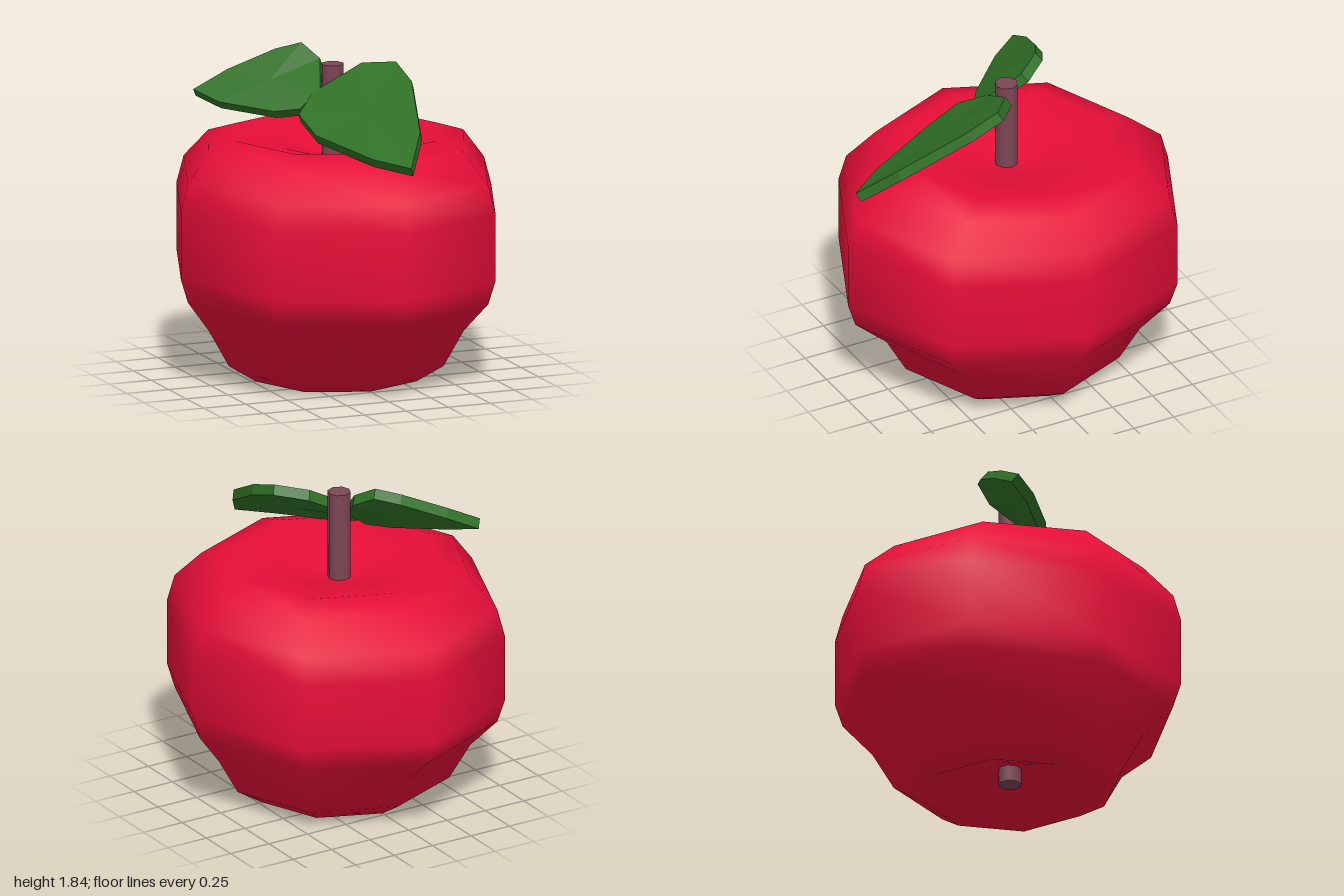
import * as THREE from 'three';
import { mergeVertices } from 'three/addons/utils/BufferGeometryUtils.js';

function addMesh(group, name, geometry, color, flat = false) {
  const material = new THREE.MeshStandardMaterial({ color, flatShading: flat });
  const mesh = new THREE.Mesh(geometry, material);
  mesh.name = name;
  group.add(mesh);
  return mesh;
}

// Eight-sided fruit body: each row is [x radius, z radius, height],
// running from the bottom hollow, round the outside, to the top hollow.
function fruitGeometry() {
  const rows = [
    [0, 0, 0.16], [0.1, 0.1, 0.15], [0.3, 0.3, 0.07],
    [0.48, 0.48, 0.005], [0.64, 0.64, 0.105], [0.76, 0.76, 0.315],
    [0.885, 0.955, 0.485], [0.927, 1, 0.62], [0.927, 1, 1],
    [0.885, 0.955, 1.155], [0.76, 0.76, 1.32], [0.6, 0.59, 1.372],
    [0.32, 0.32, 1.31], [0.1, 0.1, 1.25], [0, 0, 1.25],
  ];
  let geo = new THREE.LatheGeometry(rows.map(([, rz, y]) => new THREE.Vector2(rz, y)), 8);
  const pos = geo.attributes.position;
  for (let i = 0; i < pos.count; i++) {
    const [rx, rz] = rows[i % rows.length];
    if (rz > 0) pos.setX(i, pos.getX(i) * rx / rz);
  }
  geo.deleteAttribute('normal');
  geo.deleteAttribute('uv');
  geo = mergeVertices(geo, 1e-4);
  geo.computeVertexNormals();
  return geo;
}

// Thick leaf: an upper outline, counter-clockwise from above, and the same
// outline shifted by the thickness vector, joined by a rim.
function leafGeometry(outline, thickness) {
  const n = outline.length;
  const top = outline.map((p) => new THREE.Vector3(...p));
  const centre = top.reduce((sum, p) => sum.add(p), new THREE.Vector3()).divideScalar(n);
  const shift = new THREE.Vector3(...thickness);
  const all = [...top, centre];
  const points = [...all, ...all.map((p) => p.clone().add(shift))];
  const low = n + 1;
  const index = [];
  for (let i = 0; i < n; i++) {
    const j = (i + 1) % n;
    index.push(n, i, j);
    index.push(low + n, low + j, low + i);
    index.push(i, low + i, low + j, i, low + j, j);
  }
  const geo = new THREE.BufferGeometry().setFromPoints(points);
  geo.setIndex(index);
  const flat = geo.toNonIndexed();
  flat.computeVertexNormals();
  return flat;
}

export function createModel() {
  const group = new THREE.Group();
  const green = 0x307026, brown = 0x7d4655;

  addMesh(group, 'fruitBody', fruitGeometry(), 0xe60e38);

  // Stem in the upper hollow, stub in the lower one
  const stem = addMesh(group, 'stem', new THREE.CylinderGeometry(0.065, 0.065, 0.56, 8), brown);
  stem.position.set(-0.02, 1.48, 0);
  const stub = addMesh(group, 'bottomStub', new THREE.CylinderGeometry(0.065, 0.065, 0.12, 8), brown);
  stub.position.set(-0.02, 0.12, 0);

  // Large leaf hanging over the front
  addMesh(group, 'frontLeaf', leafGeometry([
    [-0.16, 1.62, 0.05], [-0.29, 1.53, 0.16], [-0.27, 1.45, 0.36],
    [-0.1, 1.385, 0.77], [0.04, 1.365, 0.975], [0.17, 1.52, 0.79],
    [0.28, 1.72, 0.41], [0.27, 1.79, 0.21], [0.12, 1.77, 0.08],
  ], [0.022, -0.05, -0.025]), green, true);

  // Smaller leaf reaching back to the right
  addMesh(group, 'backLeaf', leafGeometry([
    [-0.24, 1.8, -0.3], [-0.49, 1.69, -0.38], [-0.685, 1.59, -0.4],
    [-0.6, 1.545, -0.24], [-0.37, 1.52, 0], [-0.25, 1.54, 0.08],
    [-0.12, 1.64, 0.06], [-0.05, 1.77, -0.11], [-0.11, 1.84, -0.23],
  ], [0.027, -0.045, -0.03]), green, true);

  return group;
}
